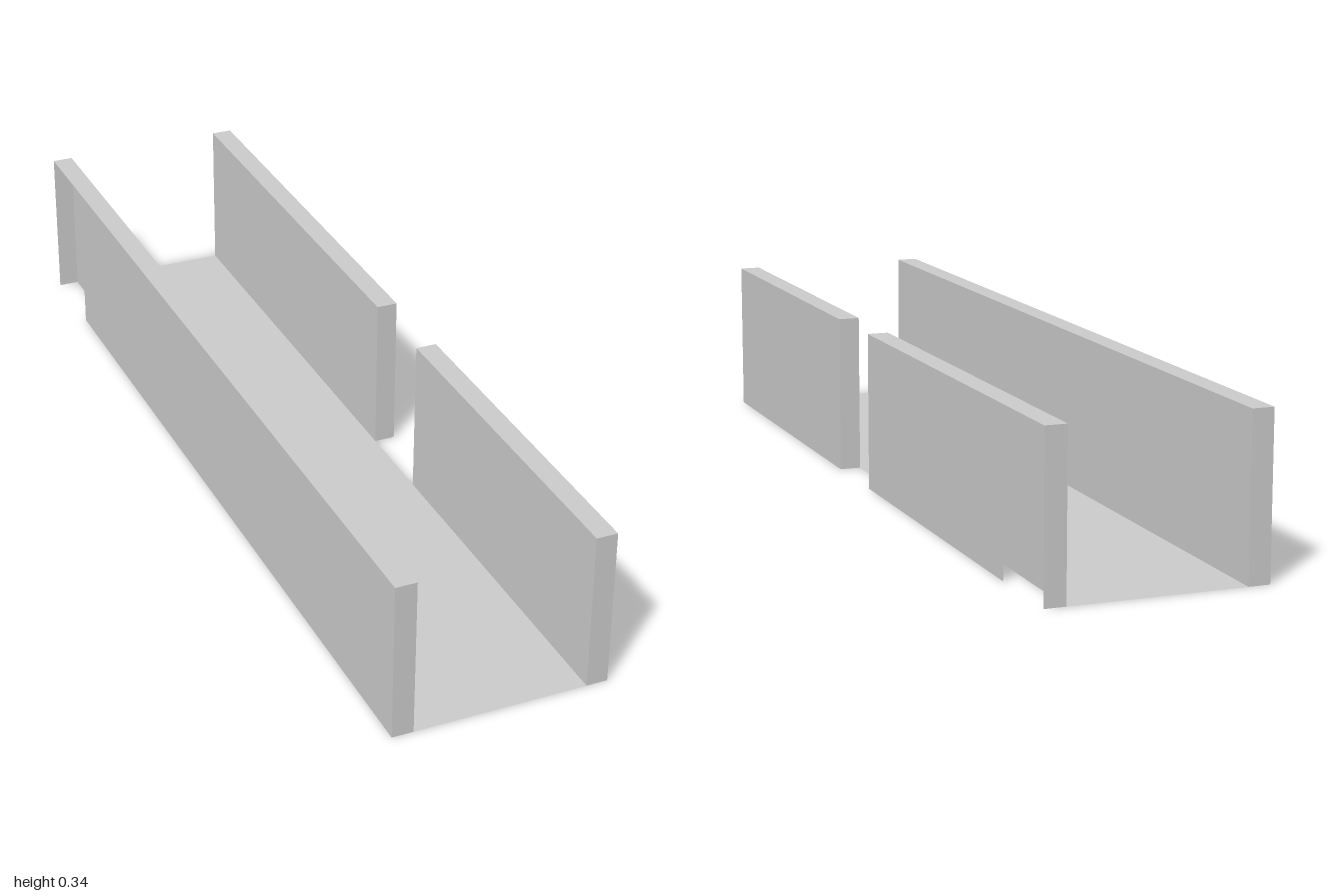
import * as THREE from 'three';

const INNER = 0.187, OUTER = 0.233, HEIGHT = 0.345;
const OUTER_START = -0.8; // outer skins stop short of the back end

const material = new THREE.MeshStandardMaterial({
  color: 0xcccccc, flatShading: true, side: THREE.DoubleSide,
});

// Flat panel; axis is the direction of its normal
function panel(name, axis, width, depth, x, y, z) {
  const geometry = new THREE.PlaneGeometry(width, depth);
  if (axis === 'x') geometry.rotateY(Math.PI / 2);
  if (axis === 'y') geometry.rotateX(-Math.PI / 2);
  const mesh = new THREE.Mesh(geometry, material);
  mesh.name = name;
  mesh.position.set(x, y, z);
  return mesh;
}

// Hollow wall, open underneath, on the given side (+1 left, -1 right)
function wall(name, side, z0, z1) {
  const group = new THREE.Group();
  group.name = name;
  const mid = side * (INNER + OUTER) / 2;
  const thick = OUTER - INNER;
  const length = z1 - z0, zMid = (z0 + z1) / 2;
  const skin0 = Math.max(z0, OUTER_START);
  group.add(
    panel('innerFace', 'x', length, HEIGHT, side * INNER, HEIGHT / 2, zMid),
    panel('outerFace', 'x', z1 - skin0, HEIGHT, side * OUTER, HEIGHT / 2, (skin0 + z1) / 2),
    panel('wallTop', 'y', thick, length, mid, HEIGHT, zMid),
  );
  for (const z of [z0, z1]) {
    group.add(panel('endCap', 'z', thick, HEIGHT, mid, HEIGHT / 2, z));
  }
  return group;
}

export function createModel() {
  const model = new THREE.Group();
  model.name = 'corridor';
  model.add(
    panel('floor', 'y', INNER * 2, 2, 0, 0, 0),
    wall('rightWall', -1, -1, 1),
    // The left wall is split by a doorway
    wall('leftWallBack', 1, -1, 0),
    wall('leftWallFront', 1, 0.2, 1),
  );
  return model;
}
